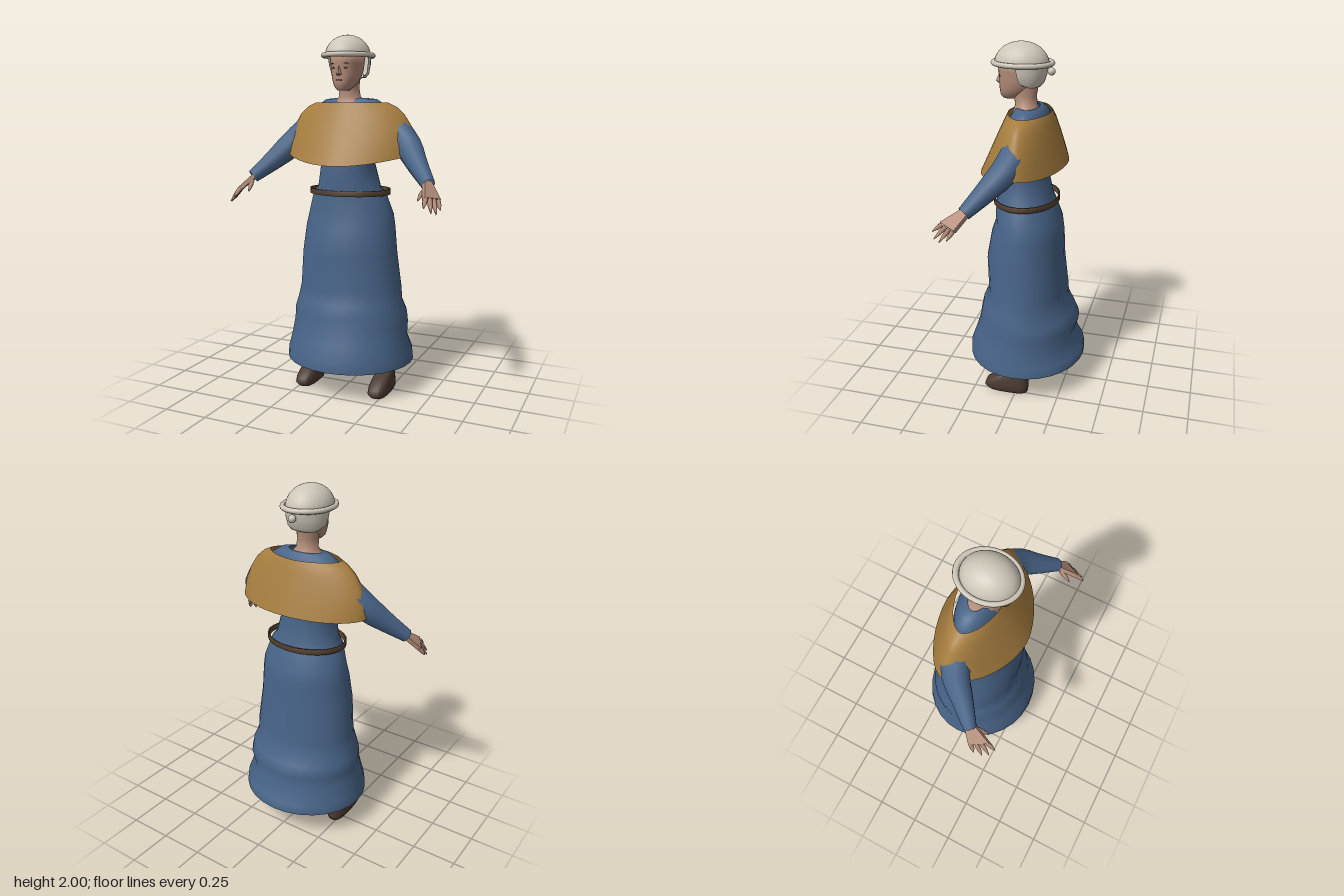
import * as THREE from 'three';
import { ConvexGeometry } from 'three/addons/geometries/ConvexGeometry.js';

const V = (x, y, z) => new THREE.Vector3(x, y, z);

const material = (name, color, side = THREE.FrontSide) => {
  const m = new THREE.MeshStandardMaterial({ color, side });
  m.name = name;
  return m;
};

// Surface through horizontal rings, each [y, halfWidth, zFront, zBack, zWidest?].
// power 2 gives ellipses, less gives pointed sides, more gives squarer ones.
function loft(rings, { sides = 24, power = 2, start = 0, arc = Math.PI * 2, caps = false, lift = () => 0 } = {}) {
  const pos = [], index = [];
  const full = arc > 6.28;
  const n = full ? sides : sides + 1;
  const shape = (v) => Math.sign(v) * Math.abs(v) ** (2 / power);
  rings.forEach(([y, rx, zf, zb, zc = (zf + zb) / 2], i) => {
    for (let j = 0; j < n; j++) {
      const a = start + (arc * j) / sides, s = shape(Math.sin(a)), c = shape(Math.cos(a));
      const t = i / (rings.length - 1);
      pos.push(rx * s, y + lift(t, s, c), zc + c * (c > 0 ? zf - zc : zc - zb));
      if (i && (full || j < sides)) {
        const p = (i - 1) * n, q = i * n, k = (j + 1) % n;
        index.push(p + j, p + k, q + k, p + j, q + k, q + j);
      }
    }
  });
  if (caps) {
    [0, rings.length - 1].forEach((i) => {
      const [y, , zf, zb] = rings[i], m = pos.length / 3;
      pos.push(0, y, (zf + zb) / 2);
      for (let j = 0; j < n; j++) {
        const a = i * n + j, b = i * n + ((j + 1) % n);
        index.push(...(i ? [m, a, b] : [m, b, a]));
      }
    });
  }
  const g = new THREE.BufferGeometry();
  g.setAttribute('position', new THREE.Float32BufferAttribute(pos, 3));
  g.setIndex(index);
  g.computeVertexNormals();
  return g;
}

// Tube along a path whose radius changes from point to point
function limb(points, radii, steps = 9, sides = 10) {
  const curve = new THREE.CatmullRomCurve3(points);
  const g = new THREE.TubeGeometry(curve, steps, 1, sides);
  const p = g.attributes.position, v = V();
  for (let i = 0; i < p.count; i++) {
    const u = Math.floor(i / (sides + 1)) / steps, c = curve.getPointAt(u);
    const f = u * (radii.length - 1), k = Math.min(Math.floor(f), radii.length - 2);
    const r = THREE.MathUtils.lerp(radii[k], radii[k + 1], f - k);
    v.fromBufferAttribute(p, i).sub(c).multiplyScalar(r).add(c);
    p.setXYZ(i, v.x, v.y, v.z);
  }
  return g;
}

export function createModel() {
  const model = new THREE.Group();
  model.name = 'robedFigure';
  const blue = material('blue wool', 0x486488, THREE.DoubleSide);
  const ochre = material('ochre cloth', 0xa67d3f, THREE.DoubleSide);
  const linen = material('pale linen', 0xcdc6b8, THREE.DoubleSide);
  const skin = material('skin', 0xb48d7a);
  const leather = material('dark leather', 0x4b3b32);
  const beltBrown = material('belt brown', 0x53402f, THREE.DoubleSide);
  const faceDark = material('face shadow brown', 0x6b4c40);
  const add = (name, geometry, mat, parent = model) => {
    const m = new THREE.Mesh(geometry, mat);
    m.name = name;
    parent.add(m);
    return m;
  };

  // Gown from hem to shoulders
  add('gown', loft([
    [0.175, 0.37, 0.33, -0.352], [0.23, 0.365, 0.328, -0.348], [0.32, 0.34, 0.295, -0.288],
    [0.4, 0.335, 0.27, -0.315], [0.46, 0.333, 0.26, -0.285], [0.53, 0.308, 0.245, -0.25],
    [0.6, 0.3, 0.212, -0.245], [0.8, 0.278, 0.22, -0.222], [0.95, 0.262, 0.192, -0.215],
    [1.02, 0.25, 0.168, -0.205], [1.13, 0.215, 0.165, -0.165], [1.17, 0.182, 0.158, -0.15],
    [1.3, 0.152, 0.17, -0.125], [1.45, 0.19, 0.14, -0.13], [1.56, 0.22, 0.1, -0.128],
    [1.62, 0.205, 0.075, -0.118], [1.655, 0.15, 0.05, -0.09], [1.66, 0.1, 0.035, -0.07],
  ], { sides: 28 }), blue);

  // Loose belt
  add('belt', loft([
    [1.13, 0.226, 0.17, -0.178], [1.13, 0.236, 0.178, -0.186],
    [1.16, 0.236, 0.178, -0.186], [1.16, 0.226, 0.17, -0.178], [1.13, 0.226, 0.17, -0.178],
  ], { sides: 32 }), beltBrown);

  // Shoulder cape, its hem raised at the sides and back
  const cape = [[0, 0.22], [0.1, 0.268], [0.25, 0.312], [0.5, 0.358], [0.75, 0.385], [1, 0.395]];
  add('cape', loft(cape.map(([t, rx]) =>
    [1.635 - 0.335 * t, rx, 0.095 + 0.155 * t, -0.135 - 0.095 * t, -0.02 - 0.015 * t]).reverse(), {
    sides: 36, power: 1.7,
    lift: (t, s, c) => (1 - t) * (0.06 * s * s + (c < 0 ? 0.055 * c * c : 0)),
  }), ochre);

  // Sleeves and hands
  for (const side of [1, -1]) {
    const P = (x, y, z) => V(side * x, y, z);
    const arm = new THREE.Group();
    arm.name = side > 0 ? 'leftArm' : 'rightArm';
    model.add(arm);
    add('sleeve', limb(
      [P(0.18, 1.54, -0.04), P(0.27, 1.48, -0.02), P(0.355, 1.4, 0.02), P(0.43, 1.315, 0.095), P(0.522, 1.22, 0.185)],
      [0.085, 0.08, 0.072, 0.054, 0.037]), blue, arm);

    const across = P(0.025, -0.008, -0.042), thick = P(0.67, 0.69, 0.26).multiplyScalar(0.012);
    const wrist = P(0.51, 1.232, 0.172), knuckle = P(0.563, 1.155, 0.258);
    const corners = [];
    for (const [c, w] of [[wrist, 0.5], [knuckle, 1.1]])
      for (const a of [-w, w])
        for (const b of [-1, 1])
          corners.push(c.clone().addScaledVector(across, a).addScaledVector(thick, b));
    add('palm', new ConvexGeometry(corners), skin, arm);

    [[0.55, 1.118, 0.348], [0.583, 1.092, 0.328], [0.6, 1.083, 0.295], [0.608, 1.1, 0.25]].forEach((tip, i) => {
      const base = knuckle.clone().addScaledVector(across, -0.85 + i * 0.57), end = P(...tip);
      add('finger', limb([base, base.clone().lerp(end, 0.5), end], [0.014, 0.012, 0.002], 4, 6), skin, arm);
    });
    add('thumb', limb([P(0.517, 1.205, 0.205), P(0.503, 1.175, 0.245), P(0.495, 1.145, 0.282)],
      [0.017, 0.014, 0.003], 4, 6), skin, arm);
  }

  // Neck and head
  add('neck', loft([
    [1.6, 0.12, 0.085, -0.09], [1.64, 0.088, 0.07, -0.078], [1.67, 0.06, 0.06, -0.06],
    [1.72, 0.054, 0.07, -0.055], [1.79, 0.06, 0.08, -0.07],
  ]), skin);
  add('head', loft([
    [1.7, 0.026, 0.125, 0.05], [1.715, 0.044, 0.14, 0.02], [1.74, 0.06, 0.144, -0.02],
    [1.775, 0.073, 0.147, -0.06], [1.81, 0.08, 0.144, -0.08], [1.845, 0.083, 0.152, -0.09],
    [1.9, 0.09, 0.152, -0.095],
  ], { caps: true, power: 2.2 }), skin);
  add('nose', new ConvexGeometry([
    V(0, 1.835, 0.148), V(-0.017, 1.782, 0.138), V(0.017, 1.782, 0.138),
    V(-0.006, 1.789, 0.167), V(0.006, 1.789, 0.167), V(0, 1.778, 0.158),
  ]), skin);

  // Eyes, brows and mouth
  const spot = (name, x, y, z, w, h) => {
    const m = add(name, new THREE.SphereGeometry(1, 10, 6), faceDark);
    m.scale.set(w, h, 0.0045);
    m.position.set(x, y, z);
    m.rotation.y = x * 9;
  };
  for (const s of [1, -1]) {
    spot('eye', s * 0.034, 1.82, 0.136, 0.013, 0.004);
    spot('brow', s * 0.035, 1.843, 0.14, 0.018, 0.0025);
  }
  spot('mouth', 0, 1.755, 0.145, 0.02, 0.003);

  // Linen cap: dome, rolled brim, nape cover and knot
  const dome = new THREE.SphereGeometry(1, 32, 12, 0, Math.PI * 2, 0, Math.PI / 2);
  dome.scale(0.122, 0.118, 0.147);
  dome.translate(0, 1.882, 0.026);
  add('capDome', dome, linen);
  const brim = new THREE.TorusGeometry(0.14, 0.014, 10, 40);
  brim.rotateX(Math.PI / 2);
  brim.scale(0.132 / 0.14, 1, 0.156 / 0.14);
  brim.translate(0, 1.89, 0.02);
  add('capBrim', brim, linen);
  add('napeCover', loft([
    [1.775, 0.07, 0.03, -0.06], [1.77, 0.09, 0.06, -0.078], [1.79, 0.108, 0.1, -0.095],
    [1.84, 0.118, 0.13, -0.112], [1.9, 0.12, 0.15, -0.118],
  ], {
    sides: 20, start: Math.PI * 0.46, arc: Math.PI * 1.08,
    lift: (t, s, c) => (1 - t) * 0.03 * Math.max(0, c + 0.5),
  }), linen);
  const knot = add('capKnot', new THREE.SphereGeometry(0.021, 14, 10), linen);
  knot.position.set(0, 1.85, -0.135);

  // Shoes, and the single bare ankle
  for (const s of [1, -1]) {
    const shoe = add(s > 0 ? 'leftShoe' : 'rightShoe', loft([
      [0.003, 0.046, 0.17, -0.066], [0.025, 0.057, 0.192, -0.07], [0.055, 0.055, 0.182, -0.07],
      [0.085, 0.05, 0.14, -0.07], [0.11, 0.045, 0.095, -0.07], [0.127, 0.04, 0.02, -0.068],
    ], { caps: true, power: 3 }), leather);
    shoe.position.x = s * 0.226;
  }
  add('rightAnkle', limb([V(-0.222, 0.11, -0.04), V(-0.216, 0.16, -0.035), V(-0.208, 0.225, -0.02)],
    [0.024, 0.021, 0.026], 4, 10), skin);

  return model;
}
